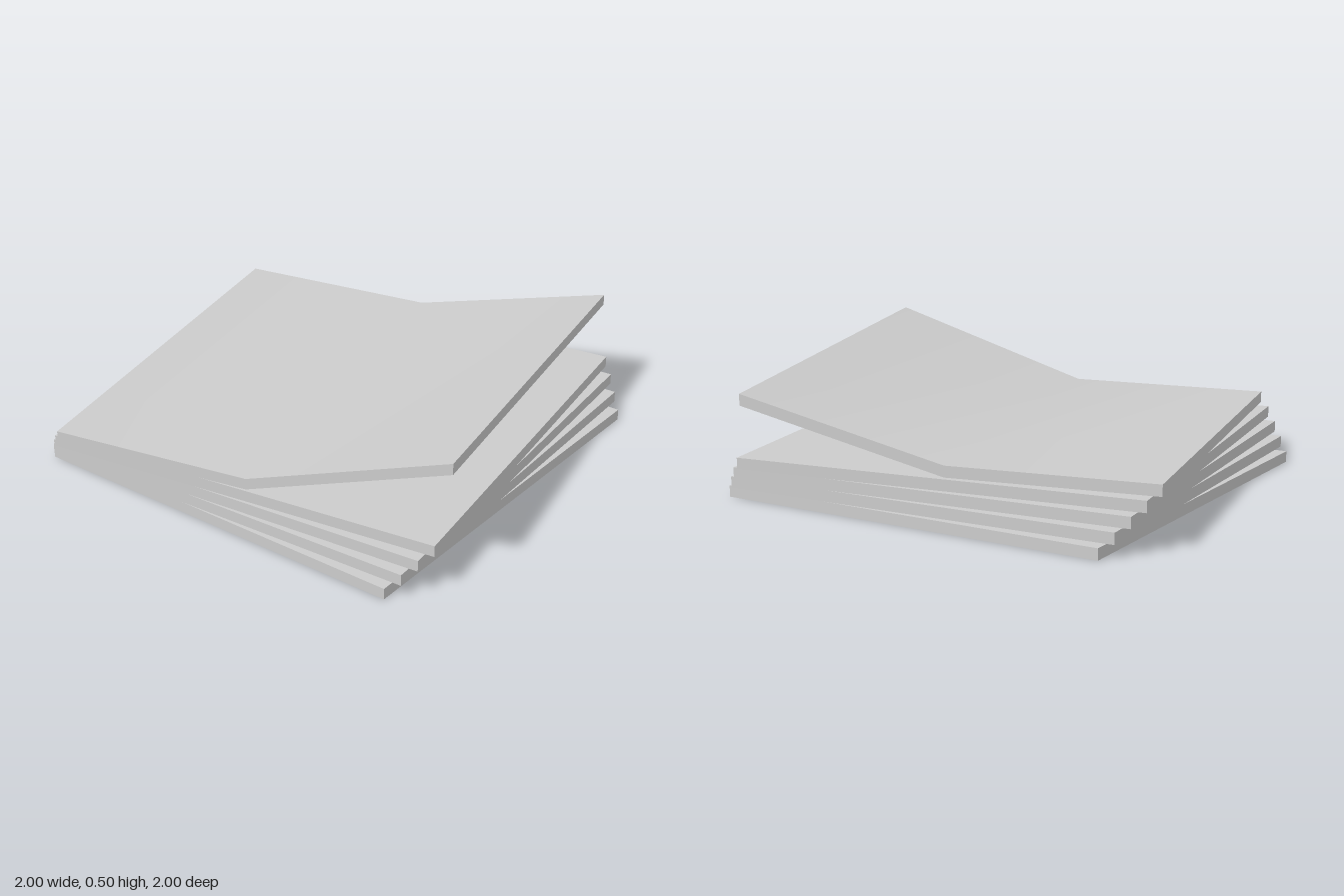
import * as THREE from 'three';

const SIDE = 1.549, THICK = 0.0425, PITCH = 0.0489, COUNT = 5;

// One square sheet, split across the middle so it can bend there
function sheetGeometry(liftFront = 0, liftBack = 0) {
  const geo = new THREE.BoxGeometry(SIDE, THICK, SIDE, 2, 1, 1);
  const p = geo.attributes.position;
  for (let i = 0; i < p.count; i++) {
    if (p.getX(i) > 0.01) p.setY(i, p.getY(i) + (p.getZ(i) > 0 ? liftFront : liftBack));
  }
  geo.computeVertexNormals();
  return geo;
}

export function createModel() {
  const group = new THREE.Group();
  group.name = 'sheetStack';
  const paper = new THREE.MeshStandardMaterial({ color: 0xcccccc });
  paper.name = 'light grey paper';

  // Stack fans out by three degrees per sheet; the top one is half lifted
  for (let i = 0; i < COUNT; i++) {
    const top = i === COUNT - 1;
    const sheet = new THREE.Mesh(top ? sheetGeometry(0.26, 0.197) : sheetGeometry(), paper);
    sheet.name = top ? 'liftedTopSheet' : `flatSheet${i + 1}`;
    sheet.position.y = THICK / 2 + i * PITCH;
    sheet.rotation.y = -THREE.MathUtils.degToRad(21 - 3 * i);
    group.add(sheet);
  }
  return group;
}
